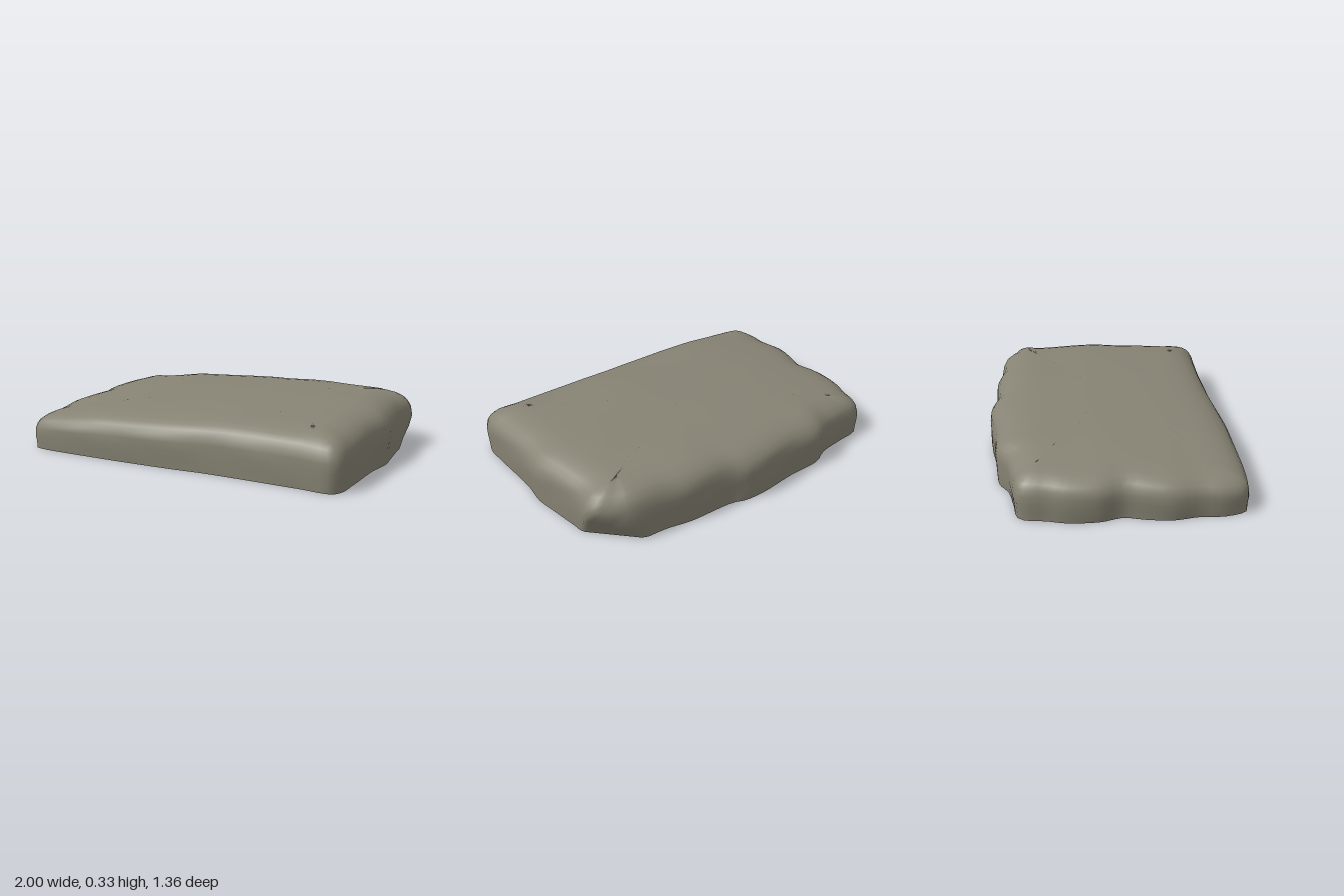
import * as THREE from 'three';

// Plan outline (x, z), starting at the back left corner, clockwise from above
const OUTLINE = [
  [-0.9, -0.55], [-0.75, -0.575], [-0.6, -0.6], [-0.5, -0.65], [-0.3, -0.66], [-0.05, -0.69],
  [0.06, -0.685], [0.14, -0.66], [0.42, -0.65], [0.55, -0.625], [0.76, -0.61], [0.85, -0.57],
  [0.96, -0.5], [0.95, -0.35], [0.97, -0.2], [0.985, -0.1], [1, 0], [0.985, 0.15], [0.99, 0.45],
  [0.985, 0.6], [0.95, 0.65], [0.75, 0.65], [0.2, 0.65], [0, 0.665], [-0.45, 0.68], [-0.9, 0.67],
  [-0.94, 0.65], [-0.98, 0.53], [-0.975, 0.4], [-1, 0.25], [-0.98, 0.12], [-0.95, 0],
  [-0.985, -0.12], [-0.98, -0.3], [-0.95, -0.4], [-0.935, -0.5],
];

// Side profile: [inset from outline, fraction of local height]
const PROFILE = [
  [0.012, 0], [0.005, 0.2], [0, 0.4], [0, 0.58], [0.008, 0.72], [0.028, 0.83],
  [0.06, 0.91], [0.1, 0.96], [0.15, 0.99], [0.21, 1],
];
const TOP_SCALES = [0.85, 0.68, 0.5, 0.32, 0.15];

// Height of the sloping top along x, and its drop along z
const HEIGHT_X = [[-1, 0.225], [-0.9, 0.24], [-0.5, 0.287], [0, 0.312], [0.3, 0.326], [0.75, 0.328], [1, 0.312]];
const DROP_Z = [[-0.69, 0.012], [-0.45, 0], [-0.1, 0], [0.25, 0.015], [0.5, 0.035], [0.69, 0.05]];

function lookup(table, t) {
  for (let i = 1; i < table.length; i++) {
    const [t0, v0] = table[i - 1], [t1, v1] = table[i];
    if (t <= t1) return THREE.MathUtils.lerp(v0, v1, THREE.MathUtils.clamp((t - t0) / (t1 - t0), 0, 1));
  }
  return table[table.length - 1][1];
}

const height = (x, z) => lookup(HEIGHT_X, x) - lookup(DROP_Z, z)
  + 0.002 * Math.sin(7 * x + 3 * z) * Math.sin(8 * z - 2 * x);

function slabGeometry() {
  const curve = new THREE.CatmullRomCurve3(
    OUTLINE.map(([x, z]) => new THREE.Vector3(x, 0, z)), true, 'centripetal');
  const count = 144;
  const plan = curve.getSpacedPoints(count).slice(0, count);
  const positions = [], index = [];

  // Rounded, weathered sides
  let rim = [];
  for (const [inset, level] of PROFILE) {
    rim = plan.map((p) => {
      // Inset towards an inner rectangle, so the corners stay rounded
      const dx = p.x - THREE.MathUtils.clamp(p.x, -0.74, 0.74);
      const dz = p.z - THREE.MathUtils.clamp(p.z, -0.42, 0.42);
      const length = Math.hypot(dx, dz) || 1;
      const dent = 0.009 * level * (1 - level) * 4
        * (1 + Math.sin(9 * p.x + 5 * level) * Math.sin(11 * p.z + 6 * level + 4 * p.x)) * 0.5;
      let x = p.x - (dx / length) * (inset + dent);
      let z = p.z - (dz / length) * (inset + dent);
      const y = level * height(x, z);
      // Undercut chip on the back corner
      const excess = x - z - (1.3 + 0.75 * y);
      if (excess > 0) { x -= excess / 2; z += excess / 2; }
      positions.push(x, y, z);
      return [x, z];
    });
  }

  // Gently sloping top
  for (const s of TOP_SCALES) {
    for (const [x, z] of rim) positions.push(x * s, height(x * s, z * s), z * s);
  }
  const rings = PROFILE.length + TOP_SCALES.length;
  const centre = rings * count;
  positions.push(0, height(0, 0), 0);

  for (let i = 0; i < count; i++) {
    const n = (i + 1) % count;
    for (let j = 0; j < rings - 1; j++) {
      const a = j * count + i, b = j * count + n;
      index.push(a, a + count, b, b, a + count, b + count);
    }
    index.push((rings - 1) * count + i, centre, (rings - 1) * count + n);
  }

  const geometry = new THREE.BufferGeometry();
  geometry.setAttribute('position', new THREE.Float32BufferAttribute(positions, 3));
  geometry.setIndex(index);
  geometry.computeVertexNormals();
  return geometry;
}

export function createModel() {
  const group = new THREE.Group();
  group.name = 'stoneSlab';
  // Open underneath, so both sides are drawn
  const stone = new THREE.MeshStandardMaterial({ color: 0x878374, side: THREE.DoubleSide });
  stone.name = 'greyStone';
  const slab = new THREE.Mesh(slabGeometry(), stone);
  slab.name = 'slabShell';
  group.add(slab);
  return group;
}
